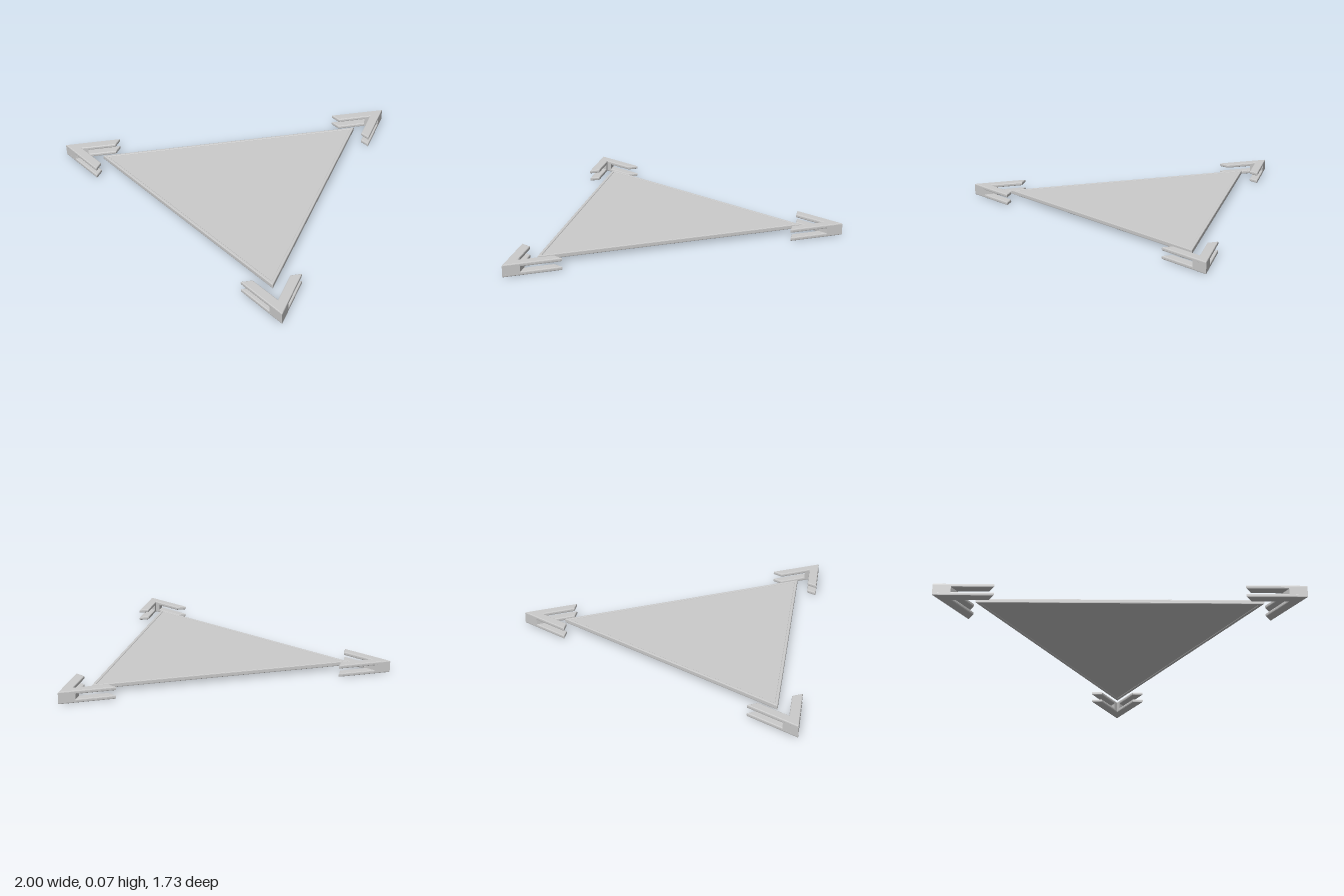
import * as THREE from 'three';

const HEIGHT = 0.072;      // full height of the corner brackets
const CENTRE_Z = 0.288;    // centroid of the equilateral plan
const TIP = 1.155;         // centroid to bracket tip

const material = new THREE.MeshStandardMaterial({ color: 0xcccccc });

// Corner points of an equilateral triangle pointing to the back
function trianglePoints(radius) {
  return [0, 1, 2].map((k) => {
    const a = Math.PI / 2 + (k * Math.PI * 2) / 3;
    return new THREE.Vector2(radius * Math.cos(a), radius * Math.sin(a));
  });
}

// Horizontal plate with bevelled edges, spanning y0..y1
function plate(name, shape, y0, y1, bevel) {
  const geometry = new THREE.ExtrudeGeometry(shape, {
    depth: y1 - y0 - 2 * bevel,
    bevelEnabled: bevel > 0,
    bevelThickness: bevel,
    bevelSize: bevel,
    bevelOffset: -bevel,
    bevelSegments: 2,
  });
  geometry.rotateX(-Math.PI / 2);
  geometry.translate(0, y0 + bevel, 0);
  const mesh = new THREE.Mesh(geometry, material);
  mesh.name = name;
  return mesh;
}

// Symmetric outline: half points are [distance from the tip, half width]
function mirroredShape(half) {
  const right = half.map(([u, v]) => new THREE.Vector2(v, TIP - u));
  const left = half.filter(([, v]) => v > 0).reverse()
    .map(([u, v]) => new THREE.Vector2(-v, TIP - u));
  return new THREE.Shape([...right, ...left]);
}

// Chevron bracket: two flanges joined by a solid block at the tip
function createBracket(name) {
  const bracket = new THREE.Group();
  bracket.name = name;
  const chevron = mirroredShape([[0, 0], [0.285, 0.1645], [0.285, 0.1], [0.112, 0]]);
  const joint = mirroredShape([[0, 0], [0.085, 0.049], [0.141, 0.0165], [0.112, 0]]);
  bracket.add(
    plate('lowerFlange', chevron, 0, 0.021, 0.006),
    plate('upperFlange', chevron, HEIGHT - 0.021, HEIGHT, 0.006),
    plate('tipJoint', joint, 0.003, HEIGHT - 0.003, 0.003),
  );
  return bracket;
}

export function createModel() {
  const model = new THREE.Group();
  model.name = 'triangularPanelWithBrackets';
  const mid = HEIGHT / 2;

  // Bevelled rim around the panel
  const rim = new THREE.Shape(trianglePoints(0.905));
  rim.holes.push(new THREE.Path(trianglePoints(0.869).reverse()));
  model.add(plate('panelRim', rim, mid - 0.013, mid + 0.013, 0.005));

  // Flat, slightly recessed pane
  const pane = new THREE.Shape(trianglePoints(0.88));
  model.add(plate('panelPane', pane, mid - 0.009, mid + 0.009, 0));

  // One bracket at each corner
  ['backBracket', 'rightBracket', 'leftBracket'].forEach((name, k) => {
    const bracket = createBracket(name);
    bracket.rotation.y = (k * Math.PI * 2) / 3;
    model.add(bracket);
  });

  model.children.forEach((part) => { part.position.z = CENTRE_Z; });
  return model;
}
